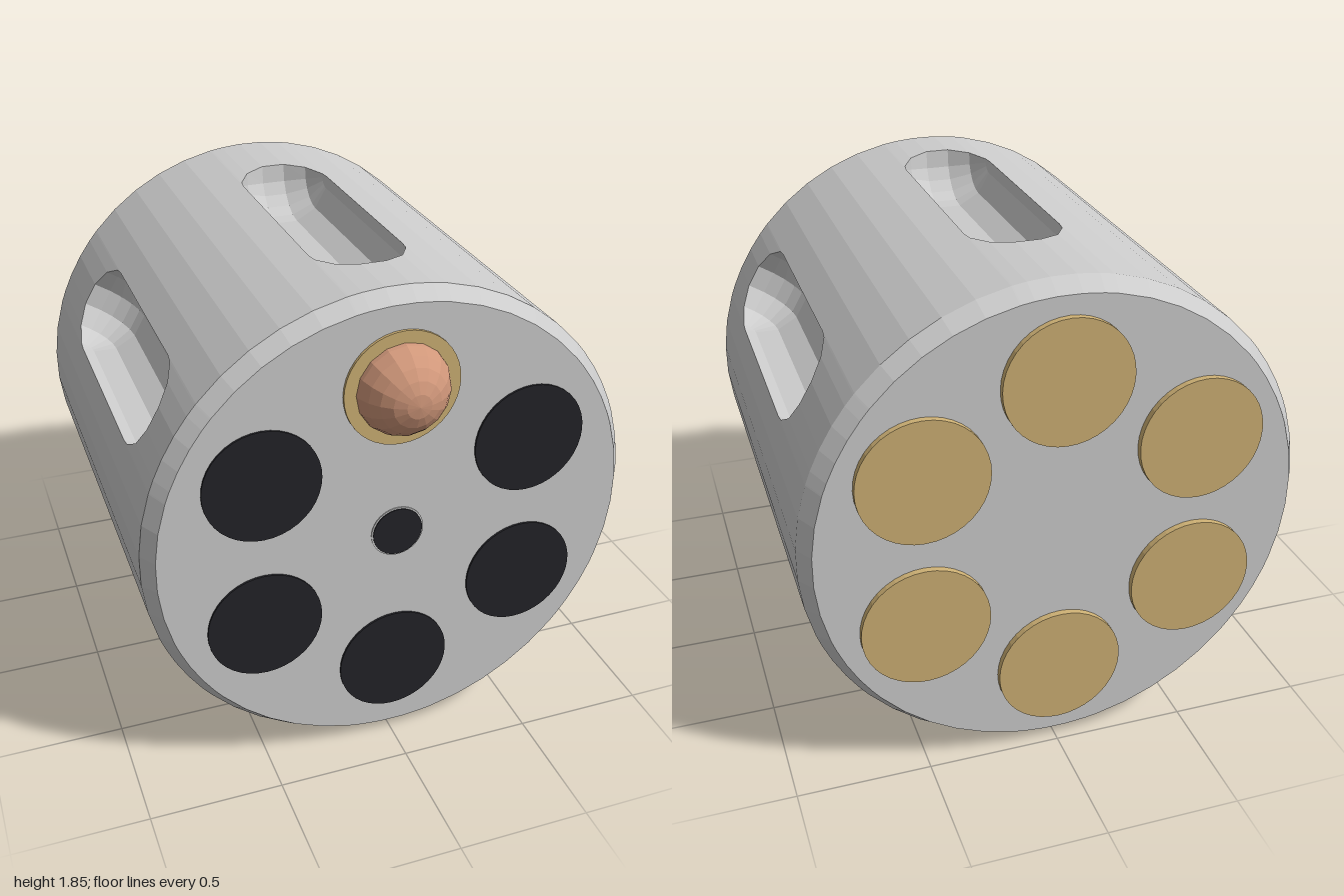
import * as THREE from 'three';

const R = 0.928, FACE_R = 0.885;            // body radius, end face radius
const FRONT = 0.842, BACK = -0.976;         // end faces
const FLUTE_R = 0.178, FLUTE_L = 0.397, FLUTE_Z = -0.004;
const FLUTE_D = Math.sqrt(R * R - FLUTE_R * FLUTE_R); // radial distance of flute axis
const RING = 0.58;                          // chamber circle radius

const mat = (color) => new THREE.MeshStandardMaterial({ color, flatShading: true });

// Fluted body: columns around the axis; those over a flute are split at its rim
function bodyGeometry() {
  const pos = [];
  const tri = (a, b, c) => {
    const n = b.clone().sub(a).cross(c.clone().sub(a));
    if (n.length() > 1e-9) for (const p of [a, b, c]) pos.push(p.x, p.y, p.z);
  };
  // join two columns of points running from back to front
  const strip = (p, q) => {
    for (let i = 0; i < p.length - 1; i++) {
      tri(p[i], p[i + 1], q[i + 1]);
      tri(p[i], q[i + 1], q[i]);
    }
  };
  const polar = (t, r, z) => new THREE.Vector3(Math.sin(t) * r, Math.cos(t) * r, z);
  const backEnd = (t) => [polar(t, 0, BACK), polar(t, FACE_R, BACK), polar(t, R, -0.91)];
  const frontEnd = (t) => [polar(t, R, 0.78), polar(t, FACE_R, FRONT), polar(t, 0, FRONT)];

  // one column inside a flute, a = angle across its round section
  const fluteColumn = (base, a) => {
    const u = FLUTE_R * Math.sin(a), rho = FLUTE_R * Math.abs(Math.cos(a));
    const t = base + Math.asin(u / R), surf = Math.sqrt(R * R - u * u);
    const inner = [], steps = 5;
    for (const side of [-1, 1]) {
      for (let k = 0; k <= steps; k++) {
        const j = side < 0 ? steps - k : k;
        const b = (j / steps) * Math.PI / 2;
        const h = j === steps ? surf : FLUTE_D - rho * Math.cos(b);
        const z = FLUTE_Z + side * (FLUTE_L + rho * Math.sin(b));
        inner.push(new THREE.Vector3(u, h, z).applyAxisAngle(new THREE.Vector3(0, 0, 1), -base));
      }
    }
    return {
      back: [...backEnd(t), inner[0]],
      inner,
      front: [inner[inner.length - 1], ...frontEnd(t)],
    };
  };

  const half = Math.asin(FLUTE_R / R);
  const angles = [-90, -75, -45, -15, 15, 45, 75, 90].map(THREE.MathUtils.degToRad);
  for (let s = 0; s < 6; s++) {
    const base = s * Math.PI / 3;
    const cols = angles.map((a) => fluteColumn(base, a));
    for (let i = 0; i < cols.length - 1; i++)
      for (const part of ['back', 'inner', 'front']) strip(cols[i][part], cols[i + 1][part]);
    // plain land between this flute and the next
    const n = 5, span = Math.PI / 3 - 2 * half;
    const land = (i) => {
      const t = base + half + span * i / n;
      return [...backEnd(t), ...frontEnd(t)];
    };
    for (let i = 0; i < n; i++) strip(land(i), land(i + 1));
  }
  const g = new THREE.BufferGeometry();
  g.setAttribute('position', new THREE.Float32BufferAttribute(pos, 3));
  g.computeVertexNormals();
  return g;
}

export function createModel() {
  const model = new THREE.Group();
  const drum = new THREE.Group();
  drum.name = 'drum';
  drum.position.y = 0.93;
  model.add(drum);

  const grey = mat(0xcccccc), dark = mat(0x232328);
  const brass = mat(0xcdb074), copper = mat(0xd0977a);

  const add = (name, geometry, material, x = 0, y = 0, z = 0) => {
    const mesh = new THREE.Mesh(geometry, material);
    mesh.name = name;
    mesh.position.set(x, y, z);
    drum.add(mesh);
    return mesh;
  };
  // flat disc lying across the axis between two depths
  const disc = (name, r, z0, z1, material, x = 0, y = 0) =>
    add(name, new THREE.CylinderGeometry(r, r, z1 - z0, 40).rotateX(Math.PI / 2),
      material, x, y, (z0 + z1) / 2);

  add('flutedBody', bodyGeometry(), grey);

  // centre pin hole
  disc('pinCollar', 0.1, 0.82, 0.846, grey);
  disc('pinHole', 0.094, 0.82, 0.85, dark);

  // chambers: the top one is loaded, the rest are open at the front
  for (let i = 0; i < 6; i++) {
    const t = i * Math.PI / 3;
    const x = RING * Math.sin(t), y = RING * Math.cos(t);
    disc('cartridgeRim', 0.234, -1, -0.95, brass, x, y);
    if (i > 0) {
      disc('chamberMouth', 0.214, 0.82, 0.85, dark, x, y);
    } else {
      disc('cartridgeCase', 0.214, 0.82, 0.853, brass, x, y);
      add('bullet', new THREE.SphereGeometry(0.174, 16, 12).rotateX(Math.PI / 2),
        copper, x, y, 0.826);
    }
  }
  return model;
}
